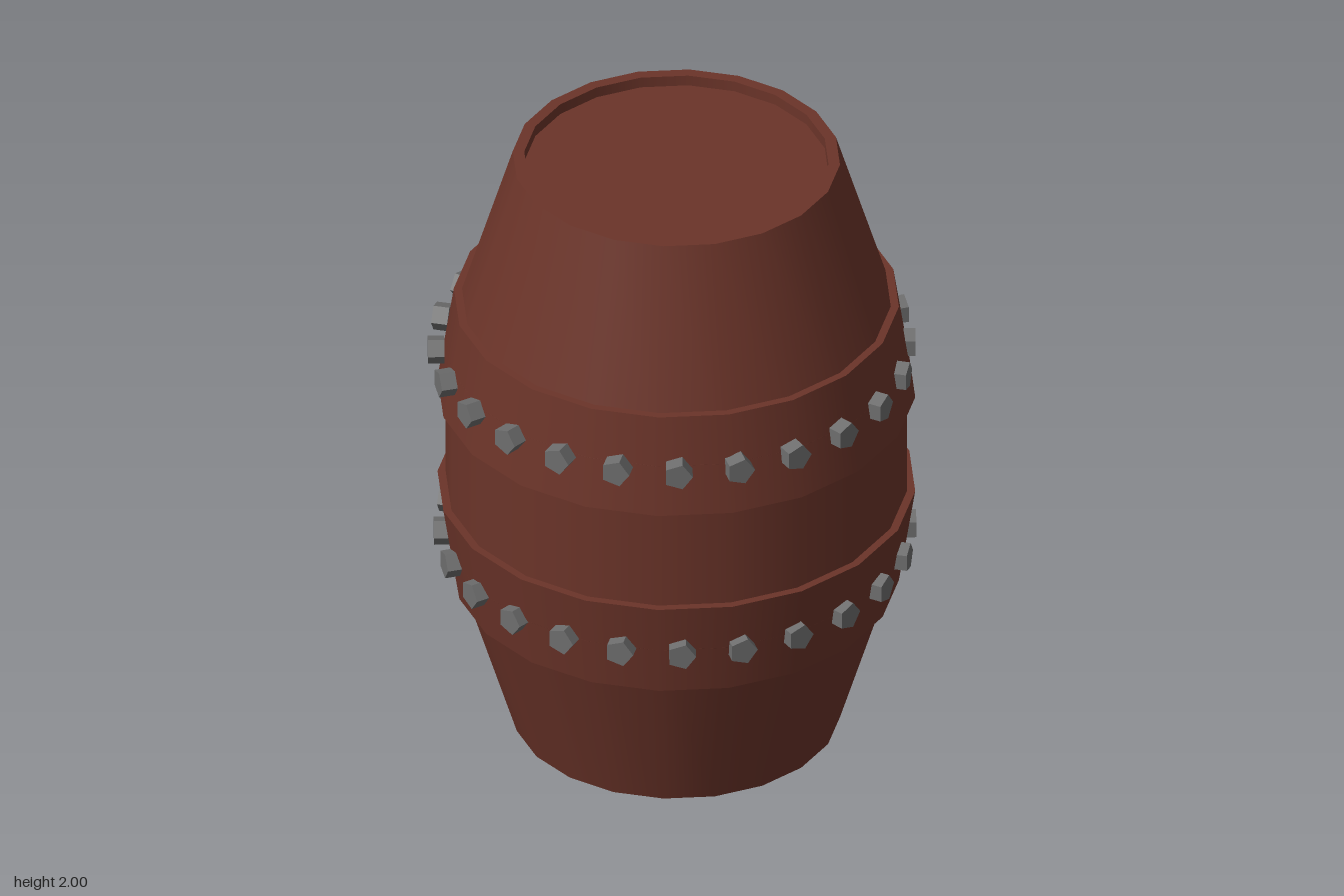
import * as THREE from 'three';
import { mergeGeometries } from 'three/addons/utils/BufferGeometryUtils.js';

const SIDES = 20;
const STUDS = 24;
const wood = new THREE.MeshStandardMaterial({ color: 0x6b3429 });
const iron = new THREE.MeshStandardMaterial({ color: 0x6e6e6e });

// Revolve each profile segment separately: round sides stay smooth, profile corners stay sharp.
function turned(name, profile) {
  const pts = profile.map(([r, y]) => new THREE.Vector2(r, y));
  const bands = [];
  for (let i = 0; i < pts.length - 1; i++) {
    bands.push(new THREE.LatheGeometry([pts[i], pts[i + 1]], SIDES));
  }
  const mesh = new THREE.Mesh(mergeGeometries(bands), wood);
  mesh.name = name;
  mesh.position.x = 0.01;
  return mesh;
}

// A ring of five-sided studs pointing outwards.
function studRing(name, y, outerRadius, centreX) {
  const depth = 0.05;
  const ring = new THREE.Group();
  ring.name = name;
  const geometry = new THREE.CylinderGeometry(0.045, 0.045, depth, 5).toNonIndexed();
  geometry.computeVertexNormals();
  geometry.rotateX(Math.PI / 2);
  geometry.rotateZ(Math.PI / 2);
  for (let i = 0; i < STUDS; i++) {
    const a = (i / STUDS) * Math.PI * 2;
    const stud = new THREE.Mesh(geometry, iron);
    const r = outerRadius - depth / 2;
    stud.name = 'stud';
    stud.position.set(Math.sin(a) * r, 0, Math.cos(a) * r);
    stud.rotation.y = a;
    ring.add(stud);
  }
  ring.position.set(centreX, y, 0);
  return ring;
}

export function createModel() {
  const barrel = new THREE.Group();
  barrel.name = 'barrel';

  // Staves with a recessed head at each end
  barrel.add(turned('body', [
    [0, 0.035], [0.465, 0.035], [0.465, 0], [0.5, 0],
    [0.705, 0.667], [0.705, 1.333],
    [0.5, 2], [0.465, 2], [0.465, 1.965], [0, 1.965],
  ]));

  // Tapered hoops, wide edge towards the middle
  barrel.add(turned('lowerHoop', [[0.64, 0.505], [0.68, 0.505], [0.73, 0.83], [0.69, 0.83]]));
  barrel.add(turned('upperHoop', [[0.69, 1.17], [0.73, 1.17], [0.68, 1.495], [0.64, 1.495]]));

  // Studs around the hoops
  barrel.add(studRing('lowerStuds', 0.665, 0.735, 0.005));
  barrel.add(studRing('upperStuds', 1.325, 0.743, -0.007));

  return barrel;
}
